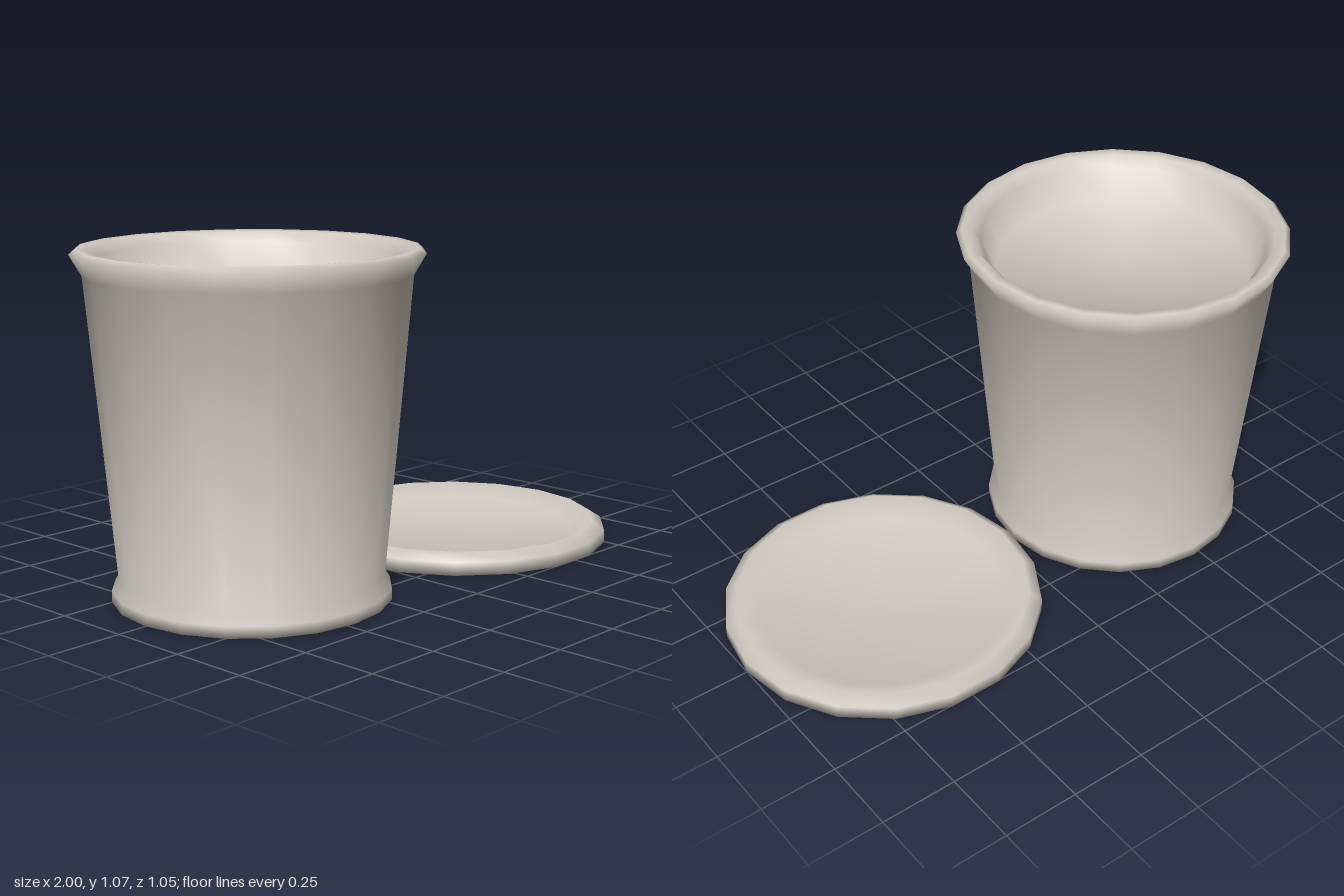
import * as THREE from 'three';

const clay = new THREE.MeshStandardMaterial({ color: 0xd0cac0 });
clay.name = 'pale clay';

// Turned part whose normals are the even average of the neighbouring bands
function turned(name, profile, sides, x) {
  const points = profile.map(([r, y]) => new THREE.Vector2(r, y));
  const geometry = new THREE.LatheGeometry(points, sides, Math.PI / 2);

  const bands = points.slice(1).map((p, j) =>
    new THREE.Vector2(p.y - points[j].y, points[j].x - p.x).normalize());
  const normal = geometry.attributes.normal;
  for (let i = 0; i <= sides; i++) {
    const angle = Math.PI / 2 + (i / sides) * Math.PI * 2;
    points.forEach((p, j) => {
      const n = (bands[j - 1] ?? bands[j]).clone().add(bands[j] ?? bands[j - 1]).normalize();
      normal.setXYZ(i * points.length + j, n.x * Math.sin(angle), n.y, n.x * Math.cos(angle));
    });
  }

  const mesh = new THREE.Mesh(geometry, clay);
  mesh.name = name;
  mesh.position.x = x;
  return mesh;
}

export function createModel() {
  const model = new THREE.Group();
  model.name = 'plantPotAndSaucer';

  // Tapered pot: foot, wall, flared rim, then the shallow filled interior
  model.add(turned('pot', [
    [0, 0], [0.428, 0], [0.428, 0.035], [0.406, 0.07],
    [0.49, 0.99], [0.527, 1.054], [0.51, 1.068], [0.478, 1.064],
    [0.452, 1.035], [0.405, 0.935], [0, 0.935],
  ], 20, -0.473));

  // Saucer with a bevelled edge sloping straight into a shallow dish
  model.add(turned('saucer', [
    [0, 0], [0.512, 0], [0.512, 0.043], [0.473, 0.068],
    [0.4, 0.032], [0, 0.032],
  ], 18, 0.488));

  return model;
}
